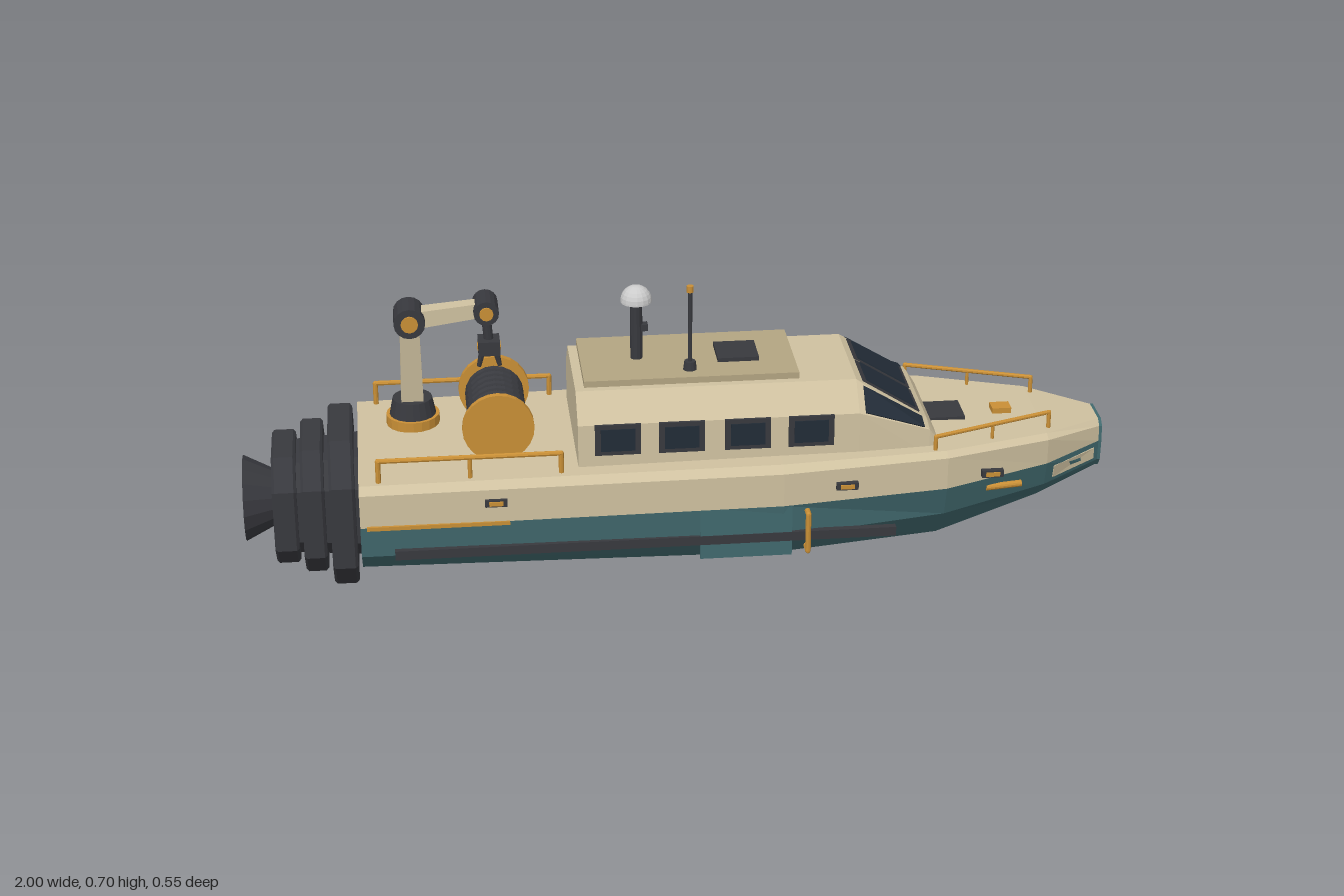
import * as THREE from 'three';

const TEAL = 0x41696e, BEIGE = 0xcfc1a0, TAN = 0xb3a582, DARK = 0x38393e, ORANGE = 0xc98f36, GLASS = 0x222c37, WHITE = 0xdcdcd8;
const mats = {};
const mat = (c, double) => mats[c + (double ? 'd' : '')] ??= new THREE.MeshStandardMaterial({
  color: c, flatShading: true, side: double ? THREE.DoubleSide : THREE.FrontSide });
const V = (p) => new THREE.Vector3(...p);

// Hull stations: x, then [y, half width] of keel, chine, seam, gunwale, deck edge
const STATIONS = [
  [-0.735, [0.062, 0.14], [0.14, 0.24], [0.215, 0.246], [0.295, 0.246], [0.31, 0.225]],
  [0.22, [0.052, 0.15], [0.145, 0.25], [0.225, 0.256], [0.305, 0.256], [0.32, 0.235]],
  [0.6, [0.07, 0.12], [0.16, 0.205], [0.235, 0.228], [0.312, 0.228], [0.322, 0.208]],
  [0.85, [0.125, 0.06], [0.185, 0.13], [0.247, 0.148], [0.308, 0.15], [0.317, 0.13]],
  [0.993, [0.185, 0.04], [0.205, 0.055], [0.255, 0.058], [0.292, 0.055], [0.305, 0.04]],
];

export function createModel() {
  const root = new THREE.Group();
  root.name = 'patrolBoat';
  const add = (name, color, geo, pos = [0, 0, 0], double = false) => {
    const m = new THREE.Mesh(geo, mat(color, double));
    m.name = name;
    m.position.set(...pos);
    root.add(m);
    return m;
  };
  const box = (name, color, size, pos) => add(name, color, new THREE.BoxGeometry(...size), pos);
  // Round bar between two points
  const rod = (name, color, a, b, r, r2 = r, seg = 12) => {
    const d = V(b).sub(V(a));
    const m = add(name, color, new THREE.CylinderGeometry(r2, r, d.length(), seg), V(a).addScaledVector(d, 0.5).toArray());
    m.quaternion.setFromUnitVectors(new THREE.Vector3(0, 1, 0), d.normalize());
    return m;
  };
  // Bent pipe through a list of points
  const pipe = (name, pts, r) => pts.forEach((p, i) => {
    if (i) rod(name, ORANGE, pts[i - 1], p, r, r, 8);
    if (i && i < pts.length - 1) add(name + 'Joint', ORANGE, new THREE.SphereGeometry(r, 8, 6), p);
  });
  // Closed solid skinned over rings of points, capped at both ends
  const loft = (rings) => {
    const out = [], n = rings[0].length;
    for (let i = 0; i + 1 < rings.length; i++)
      for (let j = 0; j < n; j++) {
        const k = (j + 1) % n, [a, b, c, d] = [rings[i][j], rings[i][k], rings[i + 1][k], rings[i + 1][j]];
        out.push(...a, ...b, ...c, ...a, ...c, ...d);
      }
    const first = rings[0], last = rings[rings.length - 1];
    for (let j = 1; j + 1 < n; j++) out.push(...first[0], ...first[j + 1], ...first[j], ...last[0], ...last[j], ...last[j + 1]);
    const g = new THREE.BufferGeometry();
    g.setAttribute('position', new THREE.Float32BufferAttribute(out, 3));
    g.computeVertexNormals();
    return g;
  };
  // Mirrored ring at x from a half profile of [y, z], top to bottom
  const ring = (x, half) => [...half.map(([y, z]) => [x, y, z]), ...half.slice().reverse().map(([y, z]) => [x, y, -z])];
  // Thin plate raised from a flat outline, counterclockwise seen from outside
  const plate = (name, color, pts, t) => {
    const n = V(pts[1]).sub(V(pts[0])).cross(V(pts[2]).sub(V(pts[0]))).normalize();
    const shift = (d) => pts.map((p) => V(p).addScaledVector(n, d).toArray());
    add(name, color, loft([shift(-0.004), shift(t)]));
  };
  const flip = (pts, s) => (s > 0 ? pts : pts.map(([x, y, z]) => [x, y, -z]).reverse());

  // Hull, topsides and bow plate
  add('hull', TEAL, loft(STATIONS.map(([x, k, c, s]) => ring(x, [s, c, k]))));
  add('topsides', BEIGE, loft(STATIONS.map(([x, , , s, g, d]) => ring(x, [d, g, s]))));
  const [, k, c, s, g, d] = STATIONS[4];
  add('bowPlate', TEAL, loft([ring(0.99, [d, g, s, c, k]), ring(1.0, [d, g, s, c, k])]));

  // Point on the hull side forward of x = 0.85; v runs from chine to seam
  const bowPoint = (x, v) => {
    const t = (x - 0.85) / 0.143, mix = (a, b, f) => a + (b - a) * f;
    const at = (i) => STATIONS[3][i].map((q, j) => mix(q, STATIONS[4][i][j], t));
    const lo = at(2), hi = at(3);
    return [x, mix(lo[0], hi[0], v), mix(lo[1], hi[1], v)];
  };

  // Cabin with sloped windscreen
  const body = [[0.475, 0.128], [0.415, 0.185], [0.3, 0.19]];
  add('cabin', BEIGE, loft([
    ring(-0.24, body), ring(0.4, body), ring(0.565, [[0.372, 0.13], [0.362, 0.176], [0.3, 0.18]]),
    ring(0.585, [[0.34, 0.125], [0.335, 0.17], [0.3, 0.175]])]));
  box('roofPanel', TAN, [0.49, 0.015, 0.244], [0.025, 0.488, 0]);
  box('roofPanelFoot', DARK, [0.46, 0.008, 0.22], [0.025, 0.478, 0]);
  box('roofHatch', DARK, [0.095, 0.01, 0.095], [0.14, 0.5, 0]);
  const screen = (t, z) => [0.4 + 0.165 * t, 0.475 - 0.103 * t, z];
  for (const sd of [1, -1]) {
    plate('windscreenFrame', DARK, flip([screen(0.1, 0.006), screen(0.1, 0.118), screen(0.9, 0.122), screen(0.9, 0.006)], sd), 0.003);
    plate('windscreen', GLASS, flip([screen(0.15, 0.013), screen(0.15, 0.11), screen(0.84, 0.114), screen(0.84, 0.013)], sd), 0.006);
    plate('cornerWindow', GLASS, flip([[0.415, 0.46, 0.136], [0.415, 0.413, 0.181], [0.552, 0.368, 0.175], [0.552, 0.377, 0.136]], sd), 0.004);
    for (const x of [-0.15, -0.005, 0.145, 0.29]) {
      box('sideWindowFrame', DARK, [0.104, 0.074, 0.014], [x, 0.379, 0.184 * sd]);
      box('sideWindow', GLASS, [0.078, 0.054, 0.018], [x, 0.379, 0.184 * sd]);
    }
  }

  // Mast with dome, and whip antenna
  rod('mast', DARK, [-0.09, 0.49, 0], [-0.09, 0.64, 0], 0.014);
  add('dome', WHITE, new THREE.SphereGeometry(0.036, 16, 6, 0, Math.PI * 2, 0, Math.PI / 2), [-0.09, 0.638, 0], true);
  rod('domeBase', WHITE, [-0.09, 0.635, 0], [-0.09, 0.639, 0], 0.036, 0.036, 16);
  box('mastLamp', DARK, [0.016, 0.016, 0.02], [-0.072, 0.572, 0]);
  rod('antennaBase', DARK, [0.025, 0.493, 0.077], [0.025, 0.516, 0.077], 0.016, 0.013);
  rod('antenna', DARK, [0.025, 0.5, 0.077], [0.025, 0.69, 0.077], 0.005);
  rod('antennaTip', ORANGE, [0.025, 0.685, 0.077], [0.025, 0.7, 0.077], 0.008);

  // Foredeck fittings
  box('foreHatch', DARK, [0.085, 0.012, 0.09], [0.632, 0.322, 0]);
  box('bowCleat', ORANGE, [0.045, 0.014, 0.036], [0.767, 0.325, 0]);

  // Fittings on both sides
  for (const sd of [1, -1]) {
    const at = (pts) => pts.map(([x, y, z]) => [x, y, z * sd]);
    pipe('sternRail', at([[-0.69, 0.31, 0.21], [-0.69, 0.363, 0.21], [-0.28, 0.363, 0.21], [-0.28, 0.315, 0.21]]), 0.006);
    rod('sternRailPost', ORANGE, [-0.485, 0.31, 0.21 * sd], [-0.485, 0.363, 0.21 * sd], 0.005, 0.005, 8);
    pipe('bowRail', at([[0.575, 0.315, 0.2], [0.575, 0.355, 0.2], [0.86, 0.355, 0.098], [0.86, 0.31, 0.098]]), 0.005);
    rod('bowRailPost', ORANGE, [0.717, 0.315, 0.149 * sd], [0.717, 0.355, 0.149 * sd], 0.004, 0.004, 8);
    box('rubStrip', DARK, [1.14, 0.022, 0.016], [-0.09, 0.147, 0.248 * sd]);
    box('sidePanel', TEAL, [0.21, 0.122, 0.009], [0.135, 0.161, 0.25 * sd]);
    pipe('boardingHandle', at([[0.275, 0.208, 0.248], [0.275, 0.208, 0.268], [0.275, 0.115, 0.268], [0.275, 0.115, 0.24]]), 0.0065);
    box('sternStrip', ORANGE, [0.32, 0.009, 0.01], [-0.56, 0.215, 0.248 * sd]);
    for (const [x, z] of [[-0.43, 0.25], [0.365, 0.25], [0.705, 0.222]]) {
      box('lampHousing', DARK, [0.05, 0.017, 0.014], [x, 0.267, z * sd]);
      box('sideLamp', ORANGE, [0.032, 0.01, 0.02], [x, 0.267, z * sd]);
    }
    rod('bowLamp', ORANGE, [0.7, 0.212, 0.185 * sd], [0.785, 0.212, 0.172 * sd], 0.008);
    plate('bowStripe', BEIGE, flip([bowPoint(0.87, 0.2), bowPoint(0.98, 0.2), bowPoint(0.98, 0.75), bowPoint(0.87, 0.75)], sd), 0.003);
  }

  // Cable reel
  for (const sd of [1, -1]) {
    rod('reelFlange', ORANGE, [-0.415, 0.385, 0.1 * sd], [-0.415, 0.385, 0.115 * sd], 0.082, 0.082, 24);
    box('reelFoot', DARK, [0.08, 0.07, 0.012], [-0.415, 0.34, 0.094 * sd]);
  }
  rod('reelDrum', DARK, [-0.415, 0.385, -0.1], [-0.415, 0.385, 0.1], 0.056, 0.056, 20);
  for (let i = 0; i < 7; i++)
    add('cableTurn', DARK, new THREE.TorusGeometry(0.057, 0.011, 8, 20), [-0.415, 0.385, -0.081 + i * 0.027]);

  // Deck crane
  rod('craneBaseRing', ORANGE, [-0.605, 0.31, -0.1], [-0.605, 0.335, -0.1], 0.062, 0.062, 20);
  rod('craneTurntable', DARK, [-0.605, 0.335, -0.1], [-0.605, 0.375, -0.1], 0.054, 0.046, 20);
  const beam = (name, a, b, w, w2) => rod(name, BEIGE, a, b, w, w2, 4).rotateY(Math.PI / 4);
  beam('cranePost', [-0.605, 0.36, -0.1], [-0.605, 0.585, -0.062], 0.037, 0.031);
  beam('craneArm', [-0.605, 0.59, -0.06], [-0.43, 0.61, -0.06], 0.029, 0.024);
  for (const [x, y, r] of [[-0.605, 0.592, 0.036], [-0.43, 0.61, 0.029]]) {
    rod('craneJoint', DARK, [x, y, -0.098], [x, y, -0.02], r, r, 16);
    rod('craneJointPin', ORANGE, [x, y, -0.103], [x, y, -0.015], r * 0.55, r * 0.55, 12);
  }
  rod('hookLink', DARK, [-0.43, 0.59, -0.057], [-0.425, 0.53, -0.057], 0.011);
  box('hookBlock', DARK, [0.05, 0.034, 0.052], [-0.425, 0.517, -0.057]);
  box('hookBlockMark', ORANGE, [0.054, 0.012, 0.024], [-0.425, 0.515, -0.057]);
  for (const sd of [1, -1]) rod('hookClaw', DARK, [-0.425 + 0.015 * sd, 0.505, -0.057], [-0.425 + 0.024 * sd, 0.465, -0.057], 0.008, 0.005, 8);

  // Stern drive: stacked chamfered plates and a flared nozzle
  const oct = (x, h) => ring(x, [[0.183 + h, 0.55 * h], [0.183 + 0.55 * h, h], [0.183 - 0.55 * h, h], [0.183 - h, 0.55 * h]]);
  for (const [x0, x1, h] of [[-0.802, -0.745, 0.183], [-0.866, -0.814, 0.155], [-0.932, -0.877, 0.135]])
    add('drivePlate', DARK, loft([oct(x0, h - 0.006), oct(x0 + 0.006, h), oct(x1 - 0.006, h), oct(x1, h - 0.006)]));
  add('driveCore', DARK, loft([oct(-0.925, 0.112), oct(-0.73, 0.125)]));
  const nozzle = add('nozzle', DARK, new THREE.LatheGeometry(
    [[0.001, 0], [0.064, 0], [0.1, 0.072], [0.086, 0.072], [0.055, 0.012], [0.001, 0.012]].map((p) => new THREE.Vector2(...p)), 16), [-0.928, 0.183, 0], true);
  nozzle.rotation.z = Math.PI / 2;
  return root;
}
